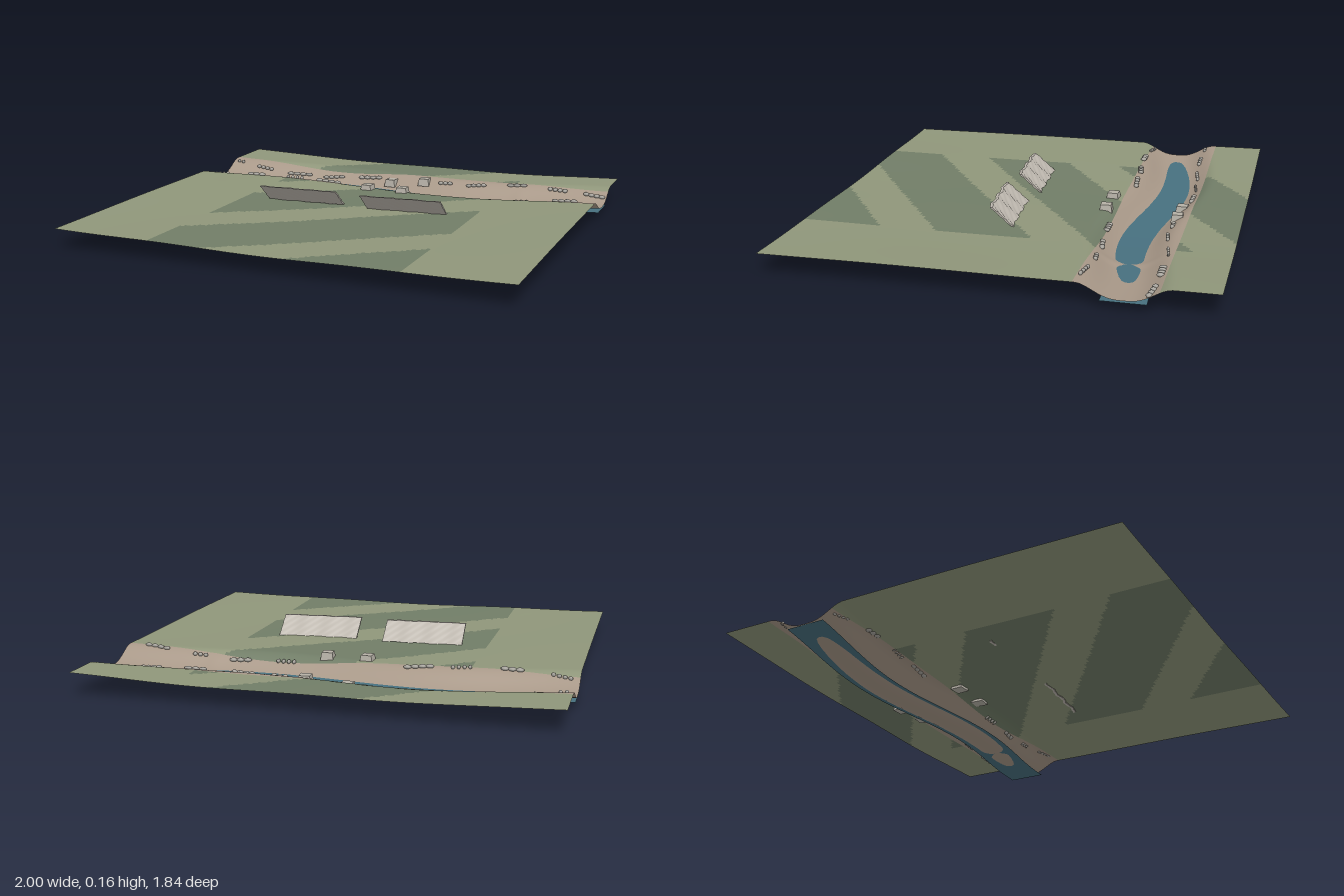
import * as THREE from 'three';

const HALF_Z = 0.92;
const paint = (color) => new THREE.MeshStandardMaterial({ color, side: THREE.DoubleSide });

// Meandering centre line of the river
const riverZ = (x) => -0.52 + 0.035 * Math.sin((2 * Math.PI * (x + 0.05)) / 1.45);
const waterY = (x) => 0.018 + 0.017 * x * x;

// Height of the ground: gentle meadow with a rounded channel cut into it
function groundY(x, z) {
  const meadow = 0.083 + (0.015 - 0.004 * z) * x * x
    + 0.0025 * Math.sin(7 * x + 2 * z) * Math.cos(3 * z - x);
  const bar = 0.006 * Math.exp(-(((x - 0.585) / 0.03) ** 2));
  const bed = 0.004 + 0.037 * x * x + 0.002 * x + bar;
  const u = Math.min(1, Math.abs(z - riverZ(x)) / 0.185);
  const f = Math.pow(u * u * (3 - 2 * u), 1.6);
  return bed + (meadow - bed) * f;
}

// Ground cover at a point: 0 grass, 1 dark grass stripe, 2 river bank
function cover(x, z) {
  if (z > -0.69 && z < -0.36) return 2;
  const period = 0.67;
  const t = z + 0.69 * x + 0.385 + 4 * period;
  return Math.abs(x) < 0.553 && t % period < 0.417 ? 1 : 0;
}

// One smooth height field, split into a mesh for each ground cover
function buildGround() {
  const nx = 120, nz = 112;
  const full = new THREE.PlaneGeometry(2, 2 * HALF_Z, nx, nz).rotateX(-Math.PI / 2);
  const p = full.attributes.position;
  for (let i = 0; i < p.count; i++) p.setY(i, groundY(p.getX(i), p.getZ(i)));
  full.computeVertexNormals();

  const lists = [[], [], []];
  const index = full.index.array;
  for (let j = 0; j < nz; j++) {
    for (let i = 0; i < nx; i++) {
      const x = -1 + (2 * (i + 0.5)) / nx;
      const z = HALF_Z * (-1 + (2 * (j + 0.5)) / nz);
      const start = (j * nx + i) * 6;
      lists[cover(x, z)].push(...index.slice(start, start + 6));
    }
  }
  const ground = new THREE.Group();
  ground.name = 'ground';
  const kinds = [['grass', 0x8f967a], ['darkGrass', 0x717d67], ['riverBank', 0xa89888]];
  kinds.forEach(([name, color], k) => {
    const geometry = new THREE.BufferGeometry();
    geometry.setAttribute('position', p);
    geometry.setAttribute('normal', full.attributes.normal);
    geometry.setIndex(lists[k]);
    const mesh = new THREE.Mesh(geometry, paint(color));
    mesh.name = name;
    ground.add(mesh);
  });
  return ground;
}

// Water ribbon following the channel
function buildWater() {
  const geometry = new THREE.PlaneGeometry(2, 0.18, 80, 4).rotateX(-Math.PI / 2);
  const p = geometry.attributes.position;
  for (let i = 0; i < p.count; i++) {
    const x = p.getX(i);
    p.setXYZ(i, x, waterY(x), p.getZ(i) + riverZ(x));
  }
  geometry.computeVertexNormals();
  const water = new THREE.Mesh(geometry, paint(0x47707f));
  water.name = 'water';
  return water;
}

// Rows of small rounded stones: x, z, count, turn, half width, half depth
const STONE_ROWS = [
  [-0.97, -0.637, 3, 0.0, 0.008, 0.008], [-0.81, -0.63, 4, 0.0, 0.011, 0.011],
  [-0.61, -0.64, 4, 0.15, 0.019, 0.008], [-0.42, -0.655, 4, 0.15, 0.016, 0.006],
  [-0.22, -0.665, 4, 0.0, 0.018, 0.013], [0.20, -0.63, 3, 0.0, 0.013, 0.010],
  [0.36, -0.63, 4, 0.15, 0.014, 0.008], [0.56, -0.66, 3, 0.15, 0.018, 0.006],
  [0.76, -0.665, 4, 0.0, 0.012, 0.017], [0.94, -0.655, 4, -0.15, 0.015, 0.013],
  [-0.925, -0.37, 4, -0.15, 0.010, 0.006], [-0.72, -0.36, 3, 0.0, 0.018, 0.015],
  [-0.51, -0.375, 4, 0.15, 0.008, 0.013], [-0.33, -0.385, 4, 0.1, 0.018, 0.012],
  [0.265, -0.36, 4, 0.0, 0.008, 0.015], [0.47, -0.375, 3, 0.15, 0.018, 0.012],
  [0.655, -0.385, 3, 0.1, 0.010, 0.010], [0.86, -0.38, 4, -0.1, 0.017, 0.008],
];

function buildStones() {
  const stones = new THREE.Group();
  stones.name = 'bankStones';
  const geometry = new THREE.SphereGeometry(1, 10, 7);
  const material = paint(0xa5a29b);
  for (const [x, z, count, turn, rx, rz] of STONE_ROWS) {
    const step = Math.max(0.024, rx * 1.75);
    for (let i = 0; i < count; i++) {
      const d = (i - (count - 1) / 2) * step;
      const sx = x + d * Math.cos(turn), sz = z - d * Math.sin(turn);
      if (Math.abs(sx) > 0.99) continue;
      const stone = new THREE.Mesh(geometry, material);
      stone.name = 'stone';
      stone.scale.set(rx, 0.009, rz);
      stone.position.set(sx, groundY(sx, sz) + 0.004, sz);
      stone.rotation.y = turn;
      stones.add(stone);
    }
  }
  return stones;
}

// Tapered footing blocks, a pair on each bank
function buildFootings() {
  const footings = new THREE.Group();
  footings.name = 'footings';
  const geometry = new THREE.CylinderGeometry(0.033, 0.041, 0.036, 4, 1).rotateY(Math.PI / 4).toNonIndexed();
  geometry.computeVertexNormals();
  for (const x of [-0.09, 0.088]) {
    for (const z of [-0.635, -0.317]) {
      const block = new THREE.Mesh(geometry, paint(0xb5b0a6));
      block.name = 'footing';
      block.position.set(x, groundY(x, z) + 0.006, z);
      block.rotation.y = x * 0.8;
      footings.add(block);
    }
  }
  return footings;
}

// Thin leaning panel with a rough surface and wavy long edges
function buildPanel(centreX, skew) {
  const geometry = new THREE.BoxGeometry(0.365, 0.08, 0.012, 36, 10, 1);
  const p = geometry.attributes.position;
  for (let i = 0; i < p.count; i++) {
    const x = p.getX(i), y = p.getY(i);
    const lean = 0.095 * (y / 0.08);
    const wave = 0.004 * Math.sin(x * 55 + 1) + 0.002 * Math.sin(x * 140 + y * 230);
    p.setZ(i, p.getZ(i) + lean + wave - skew * x);
  }
  geometry.computeVertexNormals();
  const panel = new THREE.Mesh(geometry, paint(0xbdb7ae));
  panel.name = 'leaningPanel';
  panel.position.set(centreX, 0.124, 0.086);
  return panel;
}

export function createModel() {
  const model = new THREE.Group();
  model.name = 'riverMeadow';
  model.add(buildGround(), buildWater(), buildStones(), buildFootings());
  model.add(buildPanel(-0.25, 0.06), buildPanel(0.245, 0.08));
  return model;
}
